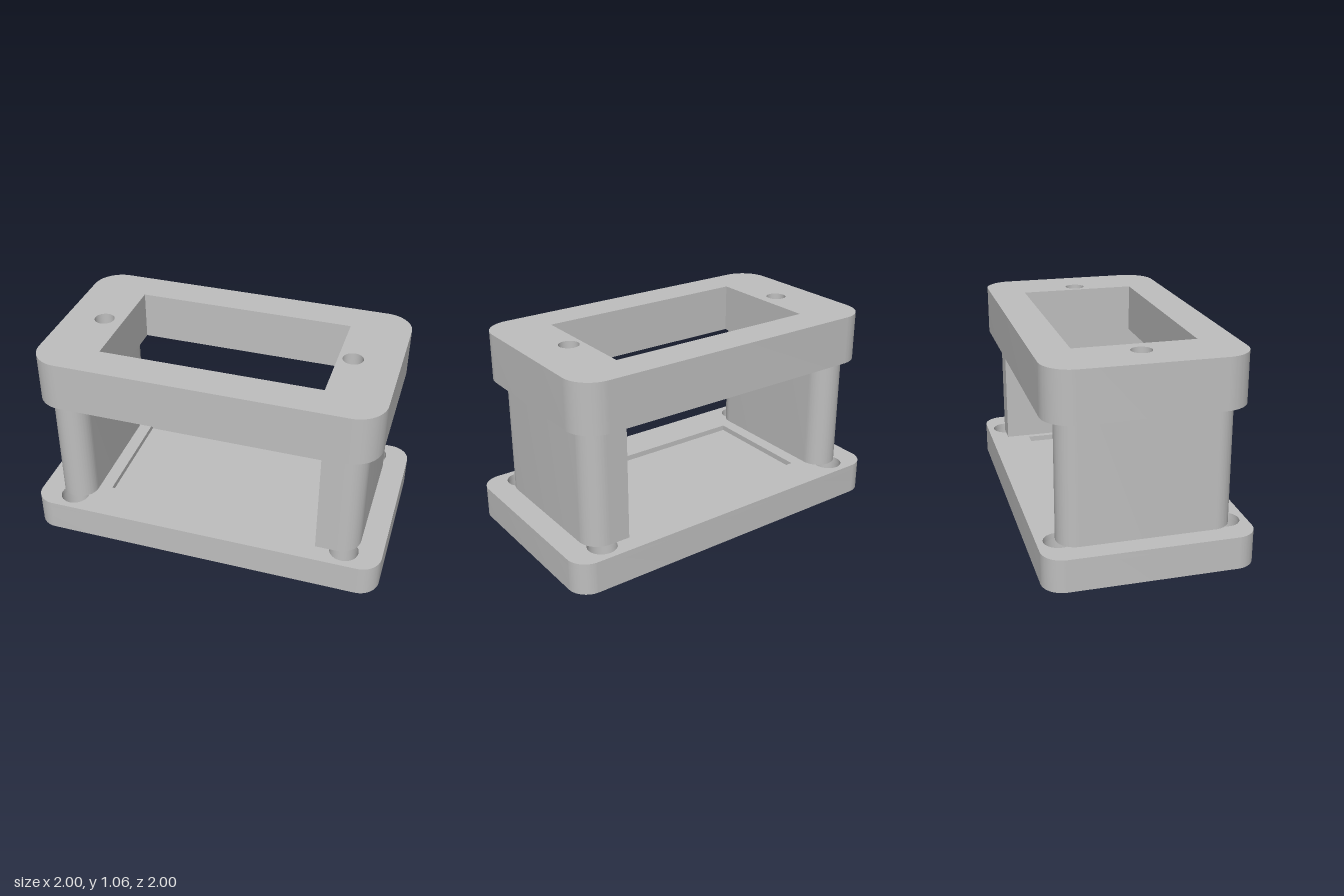
import * as THREE from 'three';
import { toCreasedNormals } from 'three/addons/utils/BufferGeometryUtils.js';

// Rounded rectangle from (u0,-w) to (u1,w); r0 and r1 round the two ends
function plateShape(u0, u1, w, r0, r1) {
  const s = new THREE.Shape();
  const h = Math.PI / 2;
  const corner = (x, y, r, a) => (r > 0 ? s.absarc(x, y, r, a, a + h, false) : s.lineTo(x, y));
  s.moveTo(u0 + r0, -w);
  corner(u1 - r1, -w + r1, r1, -h);
  corner(u1 - r1, w - r1, r1, 0);
  corner(u0 + r0, w - r0, r0, h);
  corner(u0 + r0, -w + r0, r0, 2 * h);
  s.closePath();
  return s;
}

function roundHole(x, y, r) {
  return new THREE.Path().absarc(x, y, r, 0, Math.PI * 2, true);
}

function windowHole(u0, u1, w) {
  return new THREE.Path([[u0, -w], [u0, w], [u1, w], [u1, -w]].map(([x, y]) => new THREE.Vector2(x, y)));
}

export function createModel() {
  const grey = new THREE.MeshStandardMaterial({ color: 0xbfbfbf });
  grey.name = 'grey';
  const model = new THREE.Group();
  model.name = 'mountingBracket';

  // Extrude a plan outline upwards between two heights
  function slab(name, shape, holes, y0, y1) {
    shape.holes.push(...holes);
    let geo = new THREE.ExtrudeGeometry(shape, { depth: y1 - y0, bevelEnabled: false, curveSegments: 14 });
    geo.rotateX(-Math.PI / 2);
    geo.translate(0, y0, 0);
    geo = toCreasedNormals(geo, 0.5);
    const mesh = new THREE.Mesh(geo, grey);
    mesh.name = name;
    model.add(mesh);
  }

  // Base plate with four corner holes and a shallow pocket on top
  const boltHoles = () => [-1, 1].flatMap((a) => [-1, 1].map((b) => roundHole(a * 0.753, b * 0.42, 0.076)));
  const baseShape = () => plateShape(-0.95, 0.95, 0.53, 0.108, 0.108);
  slab('basePlate', baseShape(), boltHoles(), 0, 0.14);
  slab('basePocketRim', baseShape(), [...boltHoles(), windowHole(-0.58, 0.573, 0.311)], 0.14, 0.17);

  // End pillars: a fully rounded one and a thicker one with square inner corners
  slab('roundedPillar', plateShape(-0.843, -0.65, 0.435, 0.096, 0.096), [], 0.17, 0.8);
  slab('squarePillar', plateShape(0.604, 0.825, 0.433, 0, 0.11), [], 0.17, 0.8);

  // Upper frame with a rectangular window and two screw holes
  slab('upperFrame', plateShape(-0.894, 0.886, 0.5, 0.15, 0.15), [
    windowHole(-0.58, 0.573, 0.311),
    roundHole(-0.686, 0, 0.053),
    roundHole(0.648, 0, 0.053),
  ], 0.8, 1.06);

  // The long axis runs diagonally
  model.rotation.y = -Math.PI / 4;
  const root = new THREE.Group();
  root.name = 'bracket';
  root.add(model);
  return root;
}
